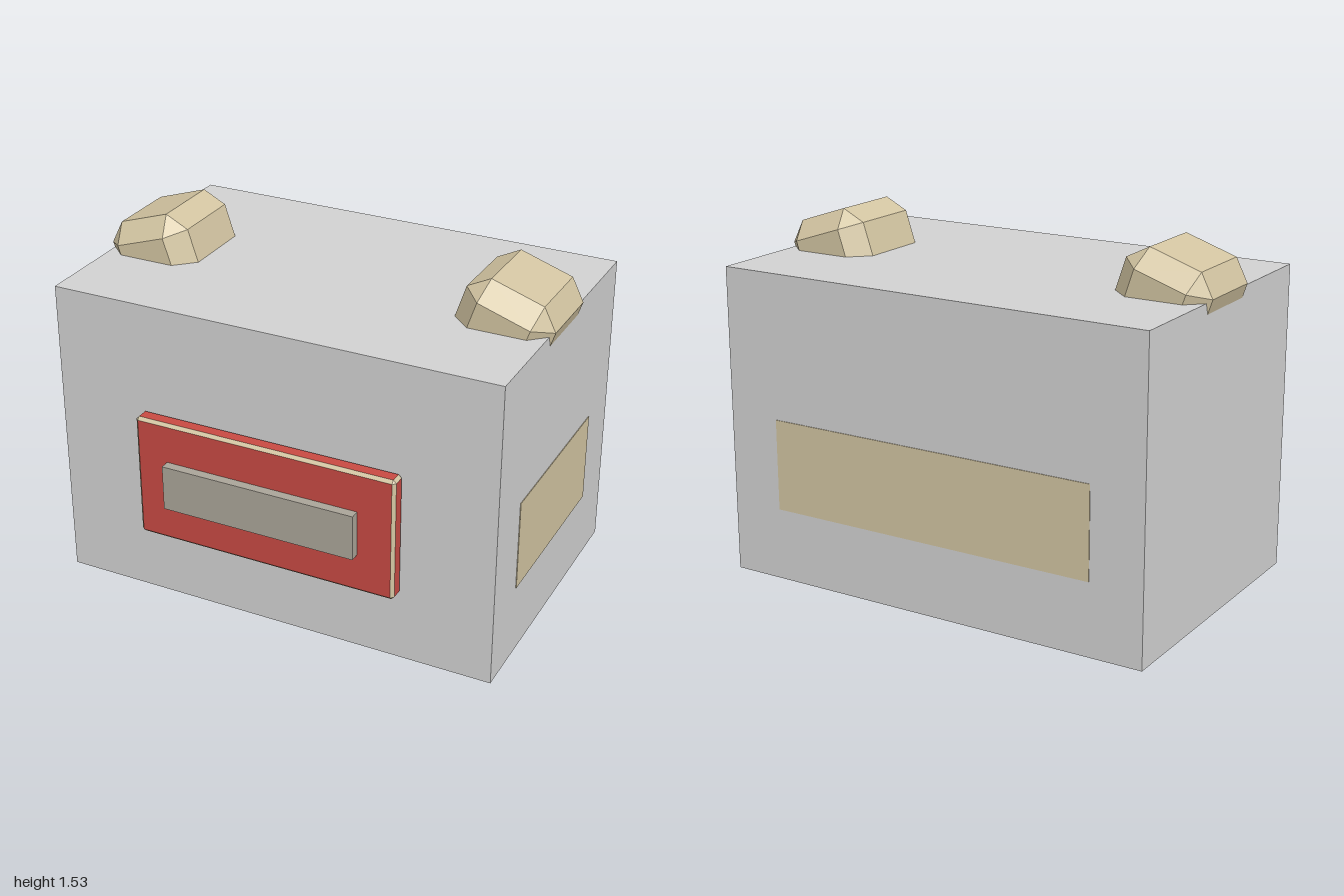
import * as THREE from 'three';

const mat = (name, color) => Object.assign(new THREE.MeshStandardMaterial({ color }), { name });

// Box with every edge and corner cut by c. Group 0 = flat faces, group 1 = bevels.
function chamferBox(w, h, d, c) {
  const half = [w / 2, h / 2, d / 2];
  const flat = [], bevel = [];
  // Corner point lying on the face of the given axis
  const pt = (axis, s) => new THREE.Vector3(...half.map((v, i) => s[i] * (i === axis ? v : v - c)));
  const tri = (out, a, b, e) => {
    const n = b.clone().sub(a).cross(e.clone().sub(a));
    const order = n.dot(a.clone().add(b).add(e)) > 0 ? [a, b, e] : [a, e, b];
    order.forEach((p) => out.push(p.x, p.y, p.z));
  };
  const quad = (out, p) => { tri(out, p[0], p[1], p[2]); tri(out, p[0], p[2], p[3]); };
  const signs = (i, j, k, a, b, e) => { const s = []; s[i] = a; s[j] = b; s[k] = e; return s; };

  for (let i = 0; i < 3; i++) {
    const j = (i + 1) % 3, k = (i + 2) % 3;
    for (const a of [-1, 1]) {
      quad(flat, [[-1, -1], [1, -1], [1, 1], [-1, 1]].map(([b, e]) => pt(i, signs(i, j, k, a, b, e))));
      for (const b of [-1, 1]) {
        const lo = signs(i, j, k, a, b, -1), hi = signs(i, j, k, a, b, 1);
        quad(bevel, [pt(i, lo), pt(i, hi), pt(j, hi), pt(j, lo)]);
      }
    }
  }
  for (const x of [-1, 1]) for (const y of [-1, 1]) for (const z of [-1, 1]) {
    tri(bevel, ...[0, 1, 2].map((axis) => pt(axis, [x, y, z])));
  }

  const g = new THREE.BufferGeometry();
  g.setAttribute('position', new THREE.Float32BufferAttribute(flat.concat(bevel), 3));
  g.addGroup(0, flat.length / 3, 0);
  g.addGroup(flat.length / 3, bevel.length / 3, 1);
  g.computeVertexNormals();
  return g;
}

export function createModel() {
  const model = new THREE.Group();
  const grey = mat('lightGrey', 0xd2d2d2);
  const cream = mat('cream', 0xd3c5a2);
  const red = mat('red', 0xc84a43);
  const stone = mat('warmGrey', 0xaba599);

  const add = (name, geometry, material, x, y, z) => {
    const mesh = new THREE.Mesh(geometry, material);
    mesh.name = name;
    mesh.position.set(x, y, z);
    model.add(mesh);
    return mesh;
  };

  // Main block
  add('body', new THREE.BoxGeometry(1.97, 1.34, 1.265), grey, 0, 0.67, -0.0575);

  // Front plate with cream bevels, and the bar across it
  add('frontPlate', chamferBox(1.17, 0.55, 0.074, 0.013), [red, cream], 0, 0.592, 0.612);
  add('frontBar', new THREE.BoxGeometry(0.865, 0.2, 0.06), stone, -0.0075, 0.59, 0.66);

  // Thin painted panels: one side and the back
  add('sidePanel', new THREE.BoxGeometry(0.006, 0.397, 0.795), cream, 0.985, 0.514, -0.0575);
  add('backPanel', new THREE.BoxGeometry(1.5, 0.397, 0.006), cream, 0, 0.514, -0.69);

  // Tilted bevelled ears, sunk into the top
  const earShape = chamferBox(0.395, 0.36, 0.475, 0.08);
  for (const side of [-1, 1]) {
    const ear = add(side > 0 ? 'leftEar' : 'rightEar', earShape, [cream, cream], side * 0.786, 1.322, -0.0525);
    ear.rotation.z = -side * 0.321;
  }

  return model;
}
